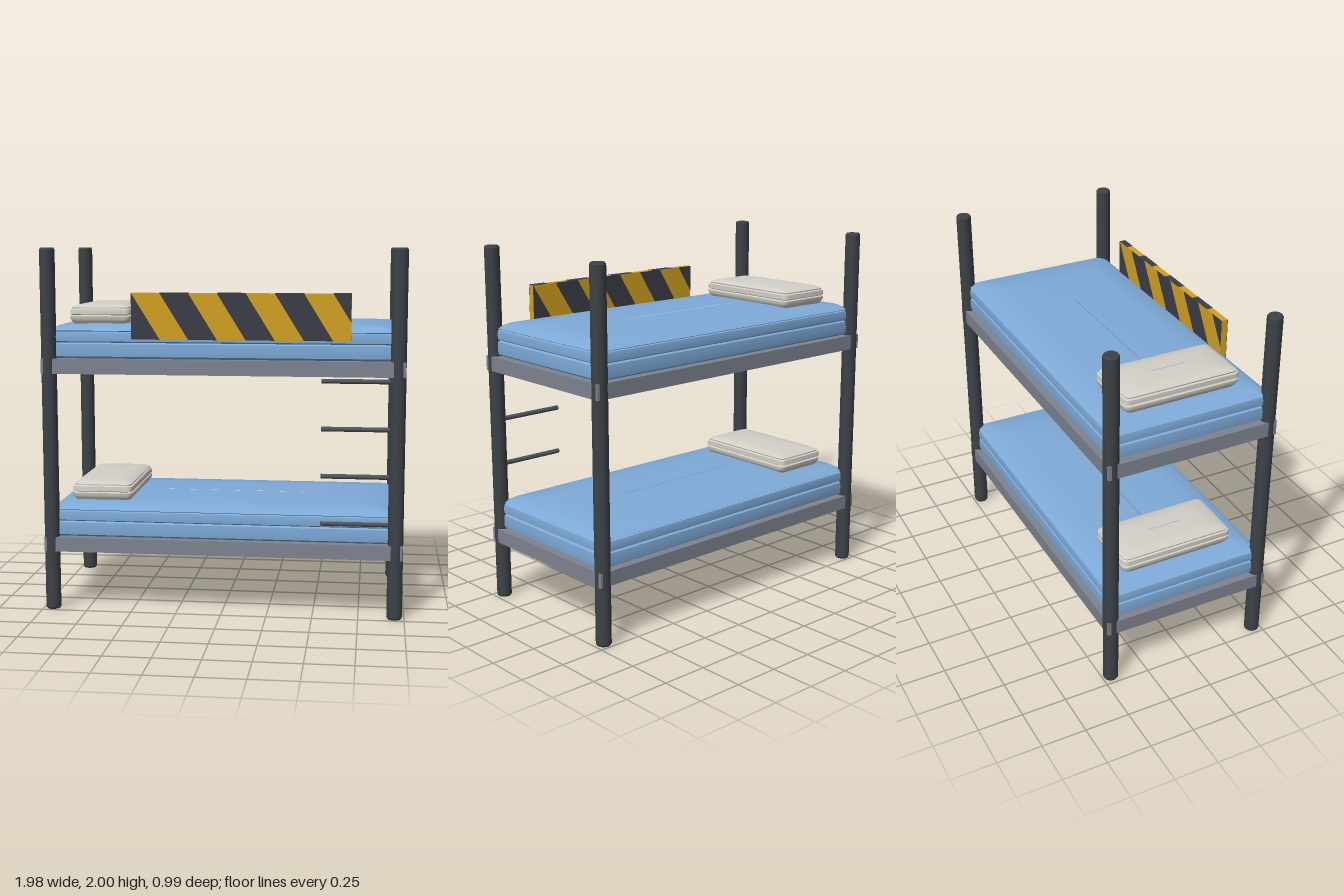
import * as THREE from 'three';
import { toCreasedNormals } from 'three/addons/utils/BufferGeometryUtils.js';

const mat = (name, color) => {
  const m = new THREE.MeshStandardMaterial({ color });
  m.name = name;
  return m;
};

// Stack of rounded-rectangle rings [halfX, halfZ, y, cornerRadius], bottom to top.
function loft(rings, crease) {
  const steps = 4, n = 4 * (steps + 1), pos = [], idx = [];
  for (const [hx, hz, y, radius] of rings) {
    const r = Math.min(radius, hx * 0.5, hz * 0.5);
    for (let c = 0; c < 4; c++) {
      const sx = c === 0 || c === 3 ? 1 : -1, sz = c < 2 ? 1 : -1;
      for (let s = 0; s <= steps; s++) {
        const a = (c + s / steps) * Math.PI / 2;
        pos.push(sx * (hx - r) + r * Math.cos(a), y, sz * (hz - r) + r * Math.sin(a));
      }
    }
  }
  for (let i = 0; i < rings.length - 1; i++) {
    for (let j = 0; j < n; j++) {
      const a = i * n + j, b = i * n + (j + 1) % n;
      idx.push(a, a + n, b, b, a + n, b + n);
    }
  }
  const g = new THREE.BufferGeometry();
  g.setAttribute('position', new THREE.Float32BufferAttribute(pos, 3));
  g.setIndex(idx);
  return toCreasedNormals(g, crease);
}

export function createModel() {
  const group = new THREE.Group();
  const postMat = mat('charcoal posts', 0x3c4247);
  const rungMat = mat('dark grey rungs', 0x50545b);
  const frameMat = mat('grey frame', 0x7d838f);
  const sheetMat = mat('blue bedding', 0x7eaad8);
  const pillowMat = mat('off-white pillow', 0xd2cfc7);
  const yellowMat = mat('warning yellow', 0xd2a122);
  const stripeMat = mat('stripe charcoal', 0x3a3e45);

  const add = (name, geometry, material, x = 0, y = 0, z = 0, parent = group) => {
    const m = new THREE.Mesh(geometry, material);
    m.name = name;
    m.position.set(x, y, z);
    parent.add(m);
    return m;
  };

  // Corner posts with slightly chamfered ends
  const R = 0.042;
  const postProfile = [[0, 0], [R - 0.006, 0], [R, 0.01], [R, 1.99], [R - 0.006, 2], [0, 2]]
    .map(([x, y]) => new THREE.Vector2(x, y));
  const postGeo = toCreasedNormals(new THREE.LatheGeometry(postProfile, 16), 0.5);
  for (const sx of [-1, 1]) for (const sz of [-1, 1]) add('post', postGeo, postMat, sx * 0.947, 0, sz * 0.453);

  // Mattress: seamed side bands and a crowned top
  const mattressGeo = loft([
    [0.935, 0.435, 0, 0.03],
    [0.955, 0.455, 0.012, 0.04],
    [0.958, 0.458, 0.045, 0.04],
    [0.955, 0.455, 0.08, 0.04],
    [0.943, 0.443, 0.087, 0.04],
    [0.955, 0.455, 0.094, 0.04],
    [0.957, 0.457, 0.12, 0.04],
    [0.953, 0.453, 0.143, 0.04],
    [0.943, 0.443, 0.147, 0.04],
    [0.953, 0.453, 0.152, 0.04],
    [0.91, 0.41, 0.177, 0.05],
    [0.72, 0.27, 0.188, 0.1],
    [0.5, 0.12, 0.191, 0.06],
    [0.42, 0.002, 0.192, 0.001],
  ], 0.75);

  // Pillow: piped side seams and a soft top
  const pillowGeo = loft([
    [0.15, 0.305, -0.012, 0.03],
    [0.162, 0.322, 0.006, 0.03],
    [0.17, 0.328, 0.02, 0.03],
    [0.17, 0.33, 0.036, 0.03],
    [0.16, 0.32, 0.041, 0.03],
    [0.17, 0.33, 0.046, 0.03],
    [0.17, 0.328, 0.072, 0.03],
    [0.16, 0.32, 0.077, 0.03],
    [0.162, 0.32, 0.084, 0.03],
    [0.145, 0.295, 0.095, 0.04],
    [0.09, 0.2, 0.103, 0.05],
    [0.002, 0.1, 0.105, 0.001],
  ], 0.75);

  // Two bunks, each a frame with its bedding
  [['lowerBunk', 0.33, 0.41], ['upperBunk', 1.32, 1.402]].forEach(([name, bottom, top]) => {
    const bunk = new THREE.Group();
    bunk.name = name;
    group.add(bunk);
    add('bedFrame', new THREE.BoxGeometry(1.972, top - bottom, 0.972), frameMat, 0, (top + bottom) / 2, 0, bunk);
    add('mattress', mattressGeo, sheetMat, 0, top, 0, bunk);
    add('pillow', pillowGeo, pillowMat, -0.69, top + 0.188, 0, bunk);
  });

  // Ladder rungs held by the front left post
  const rungGeo = new THREE.CylinderGeometry(0.013, 0.013, 0.39, 10).rotateZ(Math.PI / 2);
  for (const y of [0.52, 0.78, 1.037, 1.295]) add('ladderRung', rungGeo, rungMat, 0.735, y, 0.453);

  // Guard board with diagonal stripes on both faces and the top edge
  const W = 1.18, H = 0.25, D = 0.036, S = 0.155;
  const guard = new THREE.Group();
  guard.name = 'guardBoard';
  guard.position.set(0.105, 1.635, 0.457);
  group.add(guard);
  add('board', new THREE.BoxGeometry(W, H, D), yellowMat, 0, 0, 0, guard);

  const stripes = [[[0, H], [0, 0], [S, 0]]];
  for (const k of [1, 3, 5]) stripes.push([[k * S, H], [(k + 1) * S, 0], [(k + 2) * S, 0], [(k + 1) * S, H]]);
  stripes.push([[7 * S, H], [W, H * (8 * S - W) / S], [W, H]]);
  const faceGeo = new THREE.ExtrudeGeometry(
    stripes.map((pts) => new THREE.Shape(pts.map(([x, y]) => new THREE.Vector2(x - W / 2, y - H / 2)))),
    { depth: 0.002, bevelEnabled: false });
  add('frontStripes', faceGeo, stripeMat, 0, 0, D / 2, guard);
  add('backStripes', faceGeo, stripeMat, 0, 0, -D / 2, guard).rotation.y = Math.PI;
  for (const k of [1, 3, 5, 7]) {
    const w = Math.min(S, W - k * S);
    add('topStripe', new THREE.BoxGeometry(w, 0.002, D), stripeMat, k * S + w / 2 - W / 2, H / 2 + 0.001, 0, guard);
  }
  return group;
}
